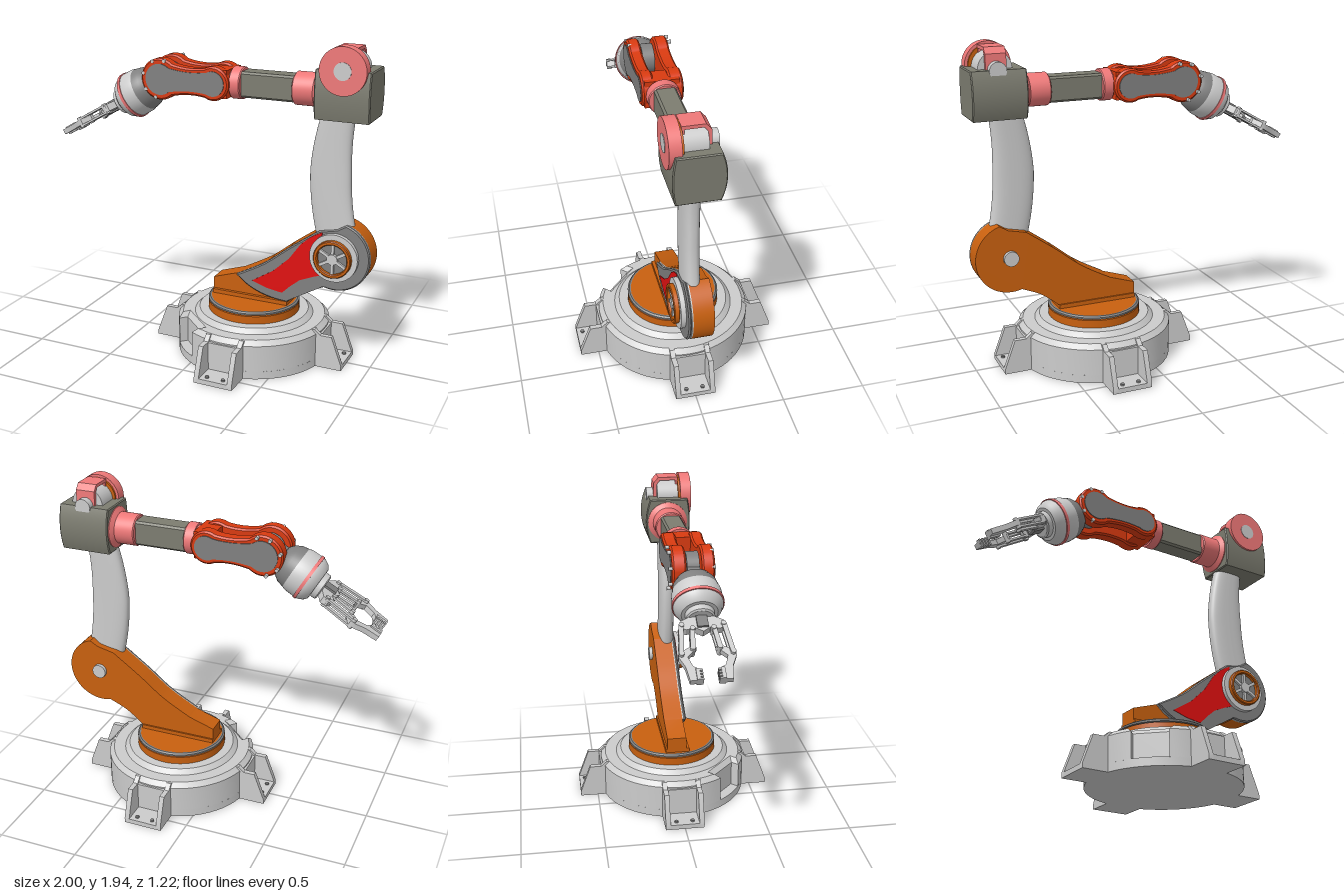
import * as THREE from 'three';
import { toCreasedNormals } from 'three/addons/utils/BufferGeometryUtils.js';

const LIGHT = 0xcccccc, DARK = 0x808080, OLIVE = 0x7c7c70, PINK = 0xee7878;
const ORANGE = 0xc8600f, RED = 0xe01010, VERMILION = 0xd83a10;
const ARM_Z = 0.035;
const rad = THREE.MathUtils.degToRad;

function mesh(parent, name, geo, color = LIGHT) {
  const m = new THREE.Mesh(geo, new THREE.MeshStandardMaterial({ color }));
  m.name = name;
  parent.add(m);
  return m;
}
const poly = pts => new THREE.Shape(pts.map(p => new THREE.Vector2(...p)));

// Shape extruded along z from z0 to z1
function slab(shape, z0, z1, bevel = 0) {
  const geo = new THREE.ExtrudeGeometry(shape, {
    depth: z1 - z0 - 2 * bevel, curveSegments: 28, bevelEnabled: bevel > 0,
    bevelSize: bevel, bevelThickness: bevel, bevelOffset: -bevel, bevelSegments: 1 });
  return toCreasedNormals(geo.translate(0, 0, z0 + bevel), 0.5);
}
// Round part with its axis along z
function discZ(parent, name, r, x, y, z0, z1, color, sides = 40) {
  const geo = new THREE.CylinderGeometry(r, r, z1 - z0, sides).rotateX(Math.PI / 2);
  return mesh(parent, name, geo.translate(x, y, (z0 + z1) / 2), color);
}
function lathe(points, segments = 64) {
  const geo = new THREE.LatheGeometry(points.map(p => new THREE.Vector2(...p)), segments);
  return toCreasedNormals(geo, 0.5);
}
const latheX = points => lathe(points, 48).rotateZ(-Math.PI / 2);
function box(parent, name, w, h, d, x, y, z, color) {
  return mesh(parent, name, new THREE.BoxGeometry(w, h, d).translate(x, y, z), color);
}

function buildBase() {
  const g = new THREE.Group();
  g.name = 'base';
  g.position.x = 0.245;
  mesh(g, 'baseFloor', lathe([[0, 0], [0.465, 0], [0.465, 0.05], [0, 0.05]]));
  // Round body with a flat notch cut at the front
  const a = rad(133), half = 0.23, s = new THREE.Shape();
  s.absarc(0, 0, 0.465, -a + half, -a - half + 2 * Math.PI, false);
  for (const d of [-1, 1]) {
    const w = 0.105 * d, r = 0.4;
    s.lineTo(r * Math.cos(a) - w * Math.sin(-a), -r * Math.sin(a) + w * Math.cos(a));
  }
  mesh(g, 'baseBody', slab(s, 0.02, 0.237, 0.028).rotateX(-Math.PI / 2));
  mesh(g, 'baseStep', lathe([[0.37, 0.23], [0.36, 0.242], [0.335, 0.265], [0, 0.265]]));
  // Four feet, each with two gussets, a floor plate and two bolts
  for (let i = 0; i < 4; i++) {
    const foot = new THREE.Group();
    foot.name = 'foot';
    foot.rotation.y = i * Math.PI / 2;
    g.add(foot);
    const side = poly([[0.38, 0], [0.61, 0], [0.61, 0.03], [0.545, 0.205], [0.475, 0.205], [0.44, 0.236], [0.38, 0.236]]);
    for (const z of [-0.12, 0.09]) mesh(foot, 'footGusset', slab(side, z, z + 0.03));
    box(foot, 'footPlate', 0.2, 0.03, 0.2, 0.51, 0.015, 0);
    box(foot, 'footWall', 0.1, 0.2, 0.2, 0.425, 0.1, 0);
    for (const z of [-0.05, 0.05])
      mesh(foot, 'footBolt', new THREE.CylinderGeometry(0.012, 0.012, 0.012, 10).translate(0.575, 0.034, z), DARK);
  }
  mesh(g, 'turntable', lathe([[0.28, 0.26], [0.28, 0.313], [0.265, 0.318]]), ORANGE);
  mesh(g, 'turntableRim', lathe([[0.265, 0.316], [0.28, 0.32], [0.28, 0.33], [0.27, 0.338], [0.26, 0.338]]), DARK);
  mesh(g, 'turntableTop', lathe([[0.262, 0.32], [0.262, 0.338], [0, 0.338]]), ORANGE);
  return g;
}

function buildLowerArm() {
  const g = new THREE.Group();
  g.name = 'lowerArm';
  const outline = plate => {
    const s = new THREE.Shape(), v = (x, y) => new THREE.Vector2(x, y);
    if (plate) {
      s.moveTo(0.16, 0.488);
      s.quadraticCurveTo(0.27, 0.37, 0.49, 0.362);
    } else {
      s.moveTo(0, 0.33);
      s.lineTo(0.49, 0.33);
      s.lineTo(0.49, 0.36);
    }
    s.splineThru([v(0.6, 0.445), v(0.719, 0.499)]);
    s.absarc(0.78, 0.7, 0.21, rad(-107), rad(73), false);
    s.lineTo(0.79, 0.87);
    s.lineTo(0.68, 0.845);
    s.splineThru([v(0.5, 0.715), v(0.34, 0.59), v(0.16, 0.488)]);
    if (!plate) s.lineTo(0, 0.435);
    return s;
  };
  mesh(g, 'lowerArmBody', slab(outline(false), -0.06, 0.06), ORANGE);
  mesh(g, 'lowerArmSeam', slab(outline(true), 0.06, 0.068));
  mesh(g, 'lowerArmPlate', slab(outline(true), 0.068, 0.085, 0.008), DARK);
  const inset = poly([[0.265, 0.465], [0.4, 0.55], [0.5, 0.645], [0.57, 0.745], [0.63, 0.8], [0.7, 0.84],
    [0.72, 0.58], [0.65, 0.555], [0.57, 0.52], [0.51, 0.47], [0.46, 0.42], [0.36, 0.435]]);
  mesh(g, 'lowerArmInset', slab(inset, 0.08, 0.088), RED);
  box(g, 'lowerArmFoot', 0.49, 0.03, 0.15, 0.245, 0.348, 0.005, ORANGE);
  // Elbow wheel on the front, shaft end on the back
  const ring = new THREE.Shape().absarc(0.78, 0.7, 0.113, 0, 2 * Math.PI);
  ring.holes.push(new THREE.Path().absarc(0.78, 0.7, 0.09, 0, 2 * Math.PI));
  discZ(g, 'jointDisc', 0.145, 0.78, 0.7, 0.07, 0.113, LIGHT);
  mesh(g, 'wheelRim', slab(ring, 0.11, 0.143, 0.005), ORANGE);
  discZ(g, 'wheelRecess', 0.092, 0.78, 0.7, 0.11, 0.118, DARK);
  discZ(g, 'wheelHub', 0.032, 0.78, 0.7, 0.11, 0.138, LIGHT, 24);
  for (let i = 0; i < 6; i++) {
    const geo = new THREE.BoxGeometry(0.07, 0.018, 0.014).translate(0.06, 0, 0.125).rotateZ(i * Math.PI / 3 + Math.PI / 6);
    mesh(g, 'wheelSpoke', geo.translate(0.78, 0.7, 0), LIGHT);
  }
  discZ(g, 'shaftEnd', 0.045, 0.78, 0.7, -0.082, -0.05, LIGHT, 24);
  return g;
}

function buildUpperArm() {
  // Bowed column with a rounded, slightly squared section
  const geo = new THREE.CylinderGeometry(1, 1, 0.83, 40, 16).translate(0, 1.135, 0);
  const p = geo.attributes.position;
  const soft = c => Math.sign(c) * Math.abs(c) ** 0.75;
  for (let i = 0; i < p.count; i++) {
    const y = p.getY(i), bow = ((y - 1.2) / 0.32) ** 2;
    const half = 0.122 - Math.max(0, y - 1.2) * 0.07;
    p.setX(i, 0.722 + 0.033 * bow + half * soft(p.getX(i)));
    p.setZ(i, 0.03 + 0.048 * soft(p.getZ(i)));
  }
  geo.computeVertexNormals();
  return geo;
}

function buildShoulder() {
  const g = new THREE.Group();
  g.name = 'forearmHead';
  // Housing with bowed sides, extruded along x
  const s = new THREE.Shape();
  s.moveTo(-0.165, 1.522);
  s.lineTo(0.075, 1.522);
  s.quadraticCurveTo(0.13, 1.66, 0.075, 1.803);
  s.lineTo(-0.165, 1.803);
  s.quadraticCurveTo(-0.195, 1.66, -0.165, 1.522);
  mesh(g, 'housing', slab(s, 0.655, 0.975, 0.006).rotateY(Math.PI / 2), OLIVE);
  discZ(g, 'motorDisc', 0.135, 0.82, 1.805, 0.125, 0.193, PINK, 56);
  discZ(g, 'motorDiscBack', 0.118, 0.82, 1.805, 0.112, 0.126, ORANGE);
  discZ(g, 'motorCap', 0.05, 0.82, 1.805, 0.18, 0.196, LIGHT, 28);
  discZ(g, 'motorDrum', 0.1, 0.82, 1.8, -0.02, 0.115, LIGHT);
  discZ(g, 'motorBackHub', 0.05, 0.82, 1.8, -0.085, -0.02, LIGHT, 28);
  // Strap over the drum and down its back
  const strap = poly([[-0.115, 1.78], [-0.115, 1.925], [0.01, 1.925], [0.04, 1.89], [0.045, 1.78],
    [0.025, 1.78], [0.02, 1.88], [0, 1.905], [-0.1, 1.905], [-0.1, 1.78]]);
  mesh(g, 'motorStrap', slab(strap, 0.76, 0.88).rotateY(Math.PI / 2), PINK);
  return g;
}

function buildForearm() {
  const g = new THREE.Group();
  g.name = 'forearm';
  g.position.set(0, 1.662, ARM_Z);
  const c = 0.012, h = 0.075, w = 0.063;
  const section = poly([[-w + c, -h], [w - c, -h], [w, -h + c], [w, h - c], [w - c, h], [-w + c, h], [-w, h - c], [-w, -h + c]]);
  mesh(g, 'forearmTube', slab(section, 0.17, 0.52).rotateY(Math.PI / 2), OLIVE);
  mesh(g, 'rearCollar', latheX([[0, 0.505], [0.09, 0.505], [0.096, 0.511], [0.096, 0.63], [0.125, 0.65], [0.125, 0.67]]), PINK);
  mesh(g, 'frontCollar', latheX([[0, 0.1], [0.082, 0.1], [0.082, 0.125], [0.095, 0.125], [0.095, 0.182], [0.09, 0.188], [0, 0.188]]), PINK);
  const dogbone = (r1, r2, waist) => {
    const s = new THREE.Shape(), at = (cx, r, a) => [cx + r * Math.cos(rad(a)), r * Math.sin(rad(a))];
    s.absarc(-0.31, 0, r1, rad(50), rad(310), false);
    s.quadraticCurveTo(-0.12, -waist, ...at(0.03, r2, 240));
    s.absarc(0.03, 0, r2, rad(240), rad(480), false);
    s.quadraticCurveTo(-0.12, waist, ...at(-0.31, r1, 50));
    return s;
  };
  // Two fork plates with inset covers and rim pins
  for (const d of [-1, 1]) {
    const [z0, z1] = d > 0 ? [0.043, 0.115] : [-0.122, -0.043];
    const face = d > 0 ? z1 : z0;
    mesh(g, 'forkPlate', slab(dogbone(0.123, 0.1, 0.068), z0, z1, 0.01), VERMILION);
    mesh(g, 'forkCover', slab(dogbone(0.092, 0.073, 0.045), face - 0.005, face + 0.005), DARK);
    for (const a of [75, 115, 165, 215, 255])
      discZ(g, 'forkPin', 0.011, -0.31 + 0.113 * Math.cos(rad(a)), 0.113 * Math.sin(rad(a)), face - 0.02, face + 0.002, LIGHT, 10);
  }
  box(g, 'forkBridge', 0.12, 0.165, 0.2, 0.055, 0, 0, VERMILION);
  return g;
}

function buildHand() {
  // Local x runs along the hand, z spans between the fingers
  const g = new THREE.Group();
  g.name = 'hand';
  g.position.set(-0.31, 1.665, ARM_Z);
  g.rotation.z = rad(210);
  discZ(g, 'wristKnuckle', 0.085, 0, 0, -0.035, 0.035, DARK);
  box(g, 'wristLink', 0.15, 0.12, 0.07, 0.075, 0, 0, DARK);
  mesh(g, 'wristDome', latheX([[0, 0.09], [0.075, 0.09], [0.1, 0.11], [0.122, 0.145], [0.132, 0.19], [0, 0.19]]), DARK);
  mesh(g, 'wristShell', latheX([[0.132, 0.188], [0.138, 0.21], [0.139, 0.27], [0.137, 0.295], [0.122, 0.325], [0.1, 0.343], [0, 0.343]]));
  mesh(g, 'wristRing', latheX([[0.13, 0.268], [0.144, 0.268], [0.144, 0.287], [0.13, 0.287]]), PINK);
  mesh(g, 'wristFlange', latheX([[0.08, 0.34], [0.08, 0.375], [0.07, 0.382], [0, 0.382]]));
  const flat = (name, pts, y0, y1, color) => mesh(g, name, slab(poly(pts), y0, y1).rotateX(Math.PI / 2), color);
  flat('palm', [[0.37, -0.05], [0.41, -0.12], [0.45, -0.125], [0.465, -0.09], [0.455, -0.04], [0.48, 0],
    [0.455, 0.04], [0.465, 0.09], [0.45, 0.125], [0.41, 0.12], [0.37, 0.05]], -0.022, 0.022);
  for (const y of [-0.03, 0.03]) box(g, 'palmRail', 0.13, 0.012, 0.06, 0.39, y, 0, DARK);
  for (const d of [-1, 1]) {
    const side = (name, pts, y0, y1) => flat(name, pts.map(([x, z]) => [x, z * d]), y0, y1);
    for (const y of [-0.028, 0.016]) {
      side('outerLink', [[0.42, 0.1], [0.43, 0.128], [0.62, 0.148], [0.635, 0.13], [0.62, 0.122]], y, y + 0.012);
      side('innerLink', [[0.45, 0.045], [0.45, 0.07], [0.585, 0.085], [0.6, 0.07], [0.59, 0.058]], y, y + 0.012);
    }
    side('finger', [[0.58, 0.05], [0.575, 0.085], [0.61, 0.15], [0.64, 0.152], [0.7, 0.125], [0.79, 0.112],
      [0.79, 0.05], [0.72, 0.05], [0.7, 0.085], [0.64, 0.105]], -0.016, 0.016);
    for (let i = 0; i < 4; i++) box(g, 'fingerTooth', 0.009, 0.05, 0.018, 0.728 + i * 0.019, 0, 0.05 * d);
    box(g, 'fingerPad', 0.07, 0.05, 0.02, 0.755, 0, 0.066 * d);
    for (const [x, z] of [[0.435, 0.112], [0.625, 0.136], [0.46, 0.057], [0.59, 0.072]])
      mesh(g, 'linkPin', new THREE.CylinderGeometry(0.014, 0.014, 0.066, 14).translate(x, 0, z * d));
  }
  return g;
}

export function createModel() {
  const model = new THREE.Group();
  model.name = 'robotArm';
  model.add(buildBase(), buildLowerArm());
  mesh(model, 'upperArm', buildUpperArm());
  model.add(buildShoulder(), buildForearm(), buildHand());
  return model;
}
